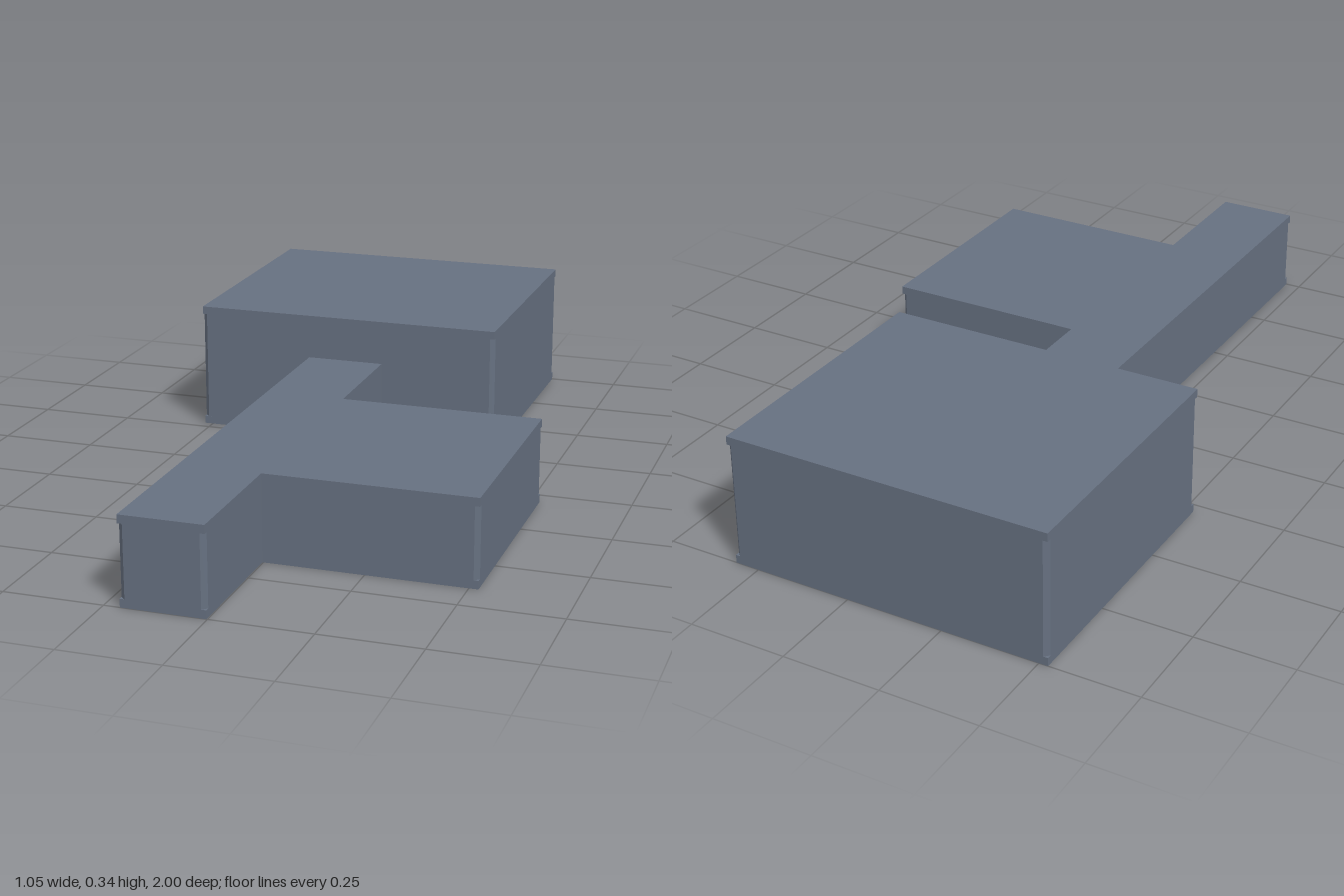
import * as THREE from 'three';

const NOTCH = 0.012; // depth of the cut along vertical corners
const BAND = 0.021; // height of the uncut plates above and below

// Cut the marked outline corners diagonally
function cutCorners(outline) {
  return outline.flatMap(([x, z, cut], i) => {
    if (!cut) return [[x, z]];
    const n = outline.length;
    return [outline[(i + n - 1) % n], outline[(i + 1) % n]].map(([nx, nz]) =>
      [x + Math.sign(nx - x) * NOTCH, z + Math.sign(nz - z) * NOTCH]);
  });
}

// Raise a floor outline between two heights
function slab(name, points, y0, y1, material) {
  const shape = new THREE.Shape(points.map(([x, z]) => new THREE.Vector2(x, -z)));
  const geometry = new THREE.ExtrudeGeometry(shape, { depth: y1 - y0, bevelEnabled: false });
  geometry.rotateX(-Math.PI / 2).translate(0, y0, 0);
  const mesh = new THREE.Mesh(geometry, material);
  mesh.name = name;
  return mesh;
}

// Floor plate, walls with cut corners, roof plate
function building(name, outline, height, material) {
  const group = new THREE.Group();
  group.name = name;
  group.add(
    slab('floorPlate', outline, 0, BAND, material),
    slab('walls', cutCorners(outline), BAND, height - BAND, material),
    slab('roofPlate', outline, height - BAND, height, material)
  );
  return group;
}

export function createModel() {
  const slate = new THREE.MeshStandardMaterial({ color: 0x667080 });
  slate.name = 'slate grey';
  const model = new THREE.Group();
  model.name = 'blockBuilding';

  // Tall rear hall
  model.add(building('rearHall', [
    [-0.523, -1, true], [0.313, -1, true], [0.313, -0.28, true], [-0.523, -0.28, true]
  ], 0.34, slate));

  // Low corridor with a side wing
  model.add(building('corridorAndWing', [
    [-0.21, -0.28], [-0.002, -0.28], [-0.002, 0.05], [0.523, 0.05, true],
    [0.523, 0.65, true], [-0.002, 0.65], [-0.002, 1, true], [-0.21, 1, true]
  ], 0.222, slate));

  return model;
}
